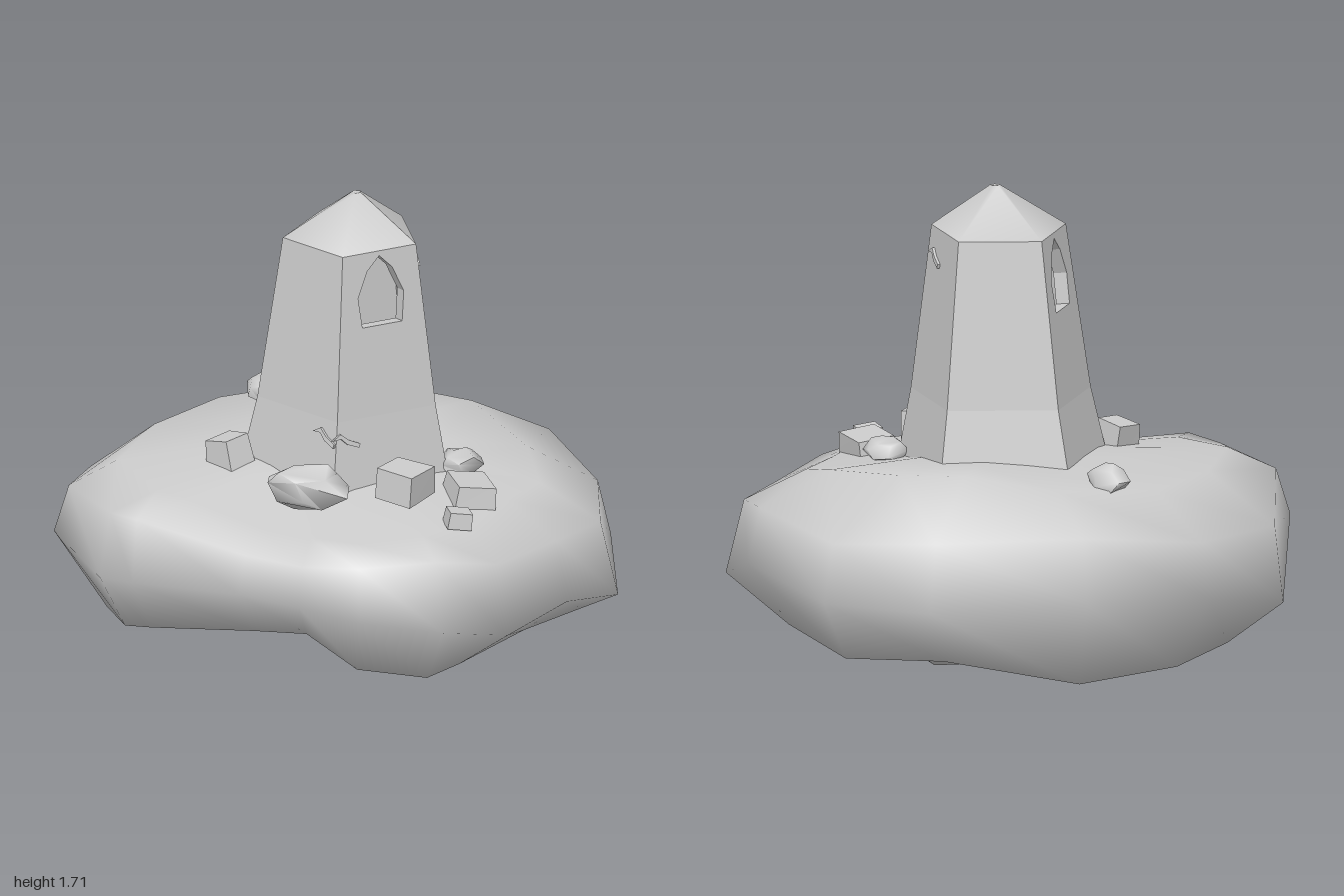
import * as THREE from 'three';
import { toCreasedNormals } from 'three/addons/utils/BufferGeometryUtils.js';

const grey = new THREE.MeshStandardMaterial({ color: 0xcccccc });
const V3 = (x, y, z) => new THREE.Vector3(x, y, z);

function addMesh(parent, name, geometry) {
  const mesh = new THREE.Mesh(geometry, grey);
  mesh.name = name;
  parent.add(mesh);
  return mesh;
}

// Island, one row per direction around the rim: [x, z, widest y,
// rim y, rim scale, shoulder y, shoulder scale, underside y, underside scale]
const RIM = [
  [1.0, -0.13, 0.27, 0.54, 0.935, 0.66, 0.71, 0.20, 0.86],
  [0.94, 0.16, 0.33, 0.55, 0.95, 0.66, 0.72, 0.18, 0.80],
  [0.89, 0.54, 0.32, 0.57, 0.94, 0.65, 0.75, 0.11, 0.69],
  [0.72, 0.72, 0.36, 0.60, 0.92, 0.65, 0.76, 0.13, 0.83],
  [0.48, 0.91, 0.42, 0.60, 0.93, 0.64, 0.78, 0.17, 0.80],
  [0.24, 0.905, 0.44, 0.57, 0.93, 0.63, 0.78, 0.29, 0.85],
  [0.0, 0.90, 0.45, 0.58, 0.94, 0.63, 0.78, 0.27, 0.86],
  [-0.43, 0.885, 0.42, 0.655, 0.98, 0.68, 0.74, 0.23, 0.91],
  [-0.58, 0.84, 0.40, 0.64, 0.96, 0.69, 0.77, 0.20, 0.90],
  [-0.88, 0.60, 0.45, 0.62, 0.95, 0.71, 0.78, 0.15, 0.82],
  [-1.0, 0.12, 0.24, 0.52, 0.97, 0.71, 0.73, 0.085, 0.80],
  [-0.87, -0.35, 0.35, 0.55, 0.96, 0.71, 0.74, 0.08, 0.84],
  [-0.54, -0.77, 0.40, 0.63, 0.95, 0.74, 0.65, 0.09, 0.91],
  [0.0, -0.91, 0.36, 0.60, 0.93, 0.77, 0.54, 0.15, 0.82],
  [0.41, -0.865, 0.36, 0.57, 0.95, 0.76, 0.58, 0.14, 0.88],
  [0.83, -0.42, 0.38, 0.58, 0.95, 0.71, 0.68, 0.15, 0.84],
];

function islandGeometry() {
  const n = RIM.length;
  const rings = [
    RIM.map(([x, z, , , , s]) => [x * 0.35, 0.5 * s + 0.385, z * 0.35]),
    RIM.map(([x, z, , , , s, k]) => [x * k, s, z * k]),
    RIM.map(([x, z, , r, k]) => [x * k, r, z * k]),
    RIM.map(([x, z, m]) => [x, m, z]),
    RIM.map(([x, z, , , , , , u, k]) => [x * k, u, z * k]),
    RIM.map(([x, z, , , , , , u]) => [x * 0.3 + 0.1, u * 0.7, z * 0.3 - 0.13]),
  ];
  const points = [...rings.flat(), [0, 0.77, 0], [0.2, 0, -0.2]];
  const top = points.length - 2, bottom = top + 1, last = (rings.length - 1) * n;
  const index = [];
  for (let j = 0; j < n; j++) {
    const k = (j + 1) % n;
    index.push(top, k, j, bottom, last + j, last + k);
    for (let i = 0; i < rings.length - 1; i++) {
      const a = i * n + j, b = i * n + k;
      index.push(a, b, a + n, b, b + n, a + n);
    }
  }
  const g = new THREE.BufferGeometry();
  g.setAttribute('position', new THREE.Float32BufferAttribute(points.flat(), 3));
  g.setIndex(index);
  g.computeVertexNormals();
  return g;
}

// Tower levels: five corners on a circle, the first towards +x
const LEVELS = [
  { x: 0.02, y: 0.66, z: 0.05, r: 0.4 },
  { x: 0.03, y: 0.95, z: 0.055, r: 0.337 },
  { x: 0.04, y: 1.55, z: 0.06, r: 0.252 },
];
const corner = (l, k) => {
  const a = (k * Math.PI * 2) / 5;
  return V3(l.x + l.r * Math.cos(a), l.y, l.z + l.r * Math.sin(a));
};

const path = (pts, Type = THREE.Shape) => new Type(pts.map(([x, y]) => new THREE.Vector2(x, y)));
const WINDOW = [[-0.08, 0.33], [0.08, 0.33], [0.092, 0.44], [0.05, 0.535],
  [0, 0.585], [-0.05, 0.535], [-0.092, 0.44]];
const CRACK = [[-0.055, 0.01], [-0.02, 0.03], [0.01, 0.005], [0.055, -0.015], [0.05, -0.03],
  [0.005, -0.012], [-0.02, 0.012]];

// One thick wall panel in its own frame: x along the wall, y up the slope, z outwards
function wallPanel(low, high, k, hasWindow) {
  const [a, b] = [corner(low, k + 1), corner(low, k)];
  const [c, d] = [corner(high, k), corner(high, k + 1)];
  const origin = a.clone().add(b).multiplyScalar(0.5);
  const u = b.clone().sub(a).normalize();
  const n = u.clone().cross(c.clone().sub(b)).normalize();
  const v = n.clone().cross(u);
  const flat = [a, b, c, d].map((p) => {
    const q = p.clone().sub(origin);
    return [q.dot(u), q.dot(v)];
  });
  const shape = path(flat);
  if (hasWindow) shape.holes.push(path(WINDOW, THREE.Path));
  const panel = new THREE.Group();
  panel.name = 'wallPanel';
  panel.applyMatrix4(new THREE.Matrix4().makeBasis(u, v, n).setPosition(origin));
  const g = new THREE.ExtrudeGeometry(shape, { depth: 0.05, bevelEnabled: false });
  addMesh(panel, hasWindow ? 'windowWall' : 'wall', g.translate(0, 0, -0.05));
  return panel;
}

function addCrack(panel, u, v) {
  const g = new THREE.ExtrudeGeometry(path(CRACK), { depth: 0.01, bevelEnabled: false });
  addMesh(panel, 'crack', g).position.set(u, v, 0);
}

function createTower() {
  const tower = new THREE.Group();
  tower.name = 'tower';
  for (let k = 0; k < 5; k++) {
    const base = wallPanel(LEVELS[0], LEVELS[1], k, false);
    const shaft = wallPanel(LEVELS[1], LEVELS[2], k, k === 0 || k === 2);
    if (k === 0) addCrack(base, -0.17, 0.22);
    if (k === 1) addCrack(base, 0.16, 0.23);
    if (k === 4) addCrack(shaft, -0.08, 0.5);
    tower.add(base, shaft);
  }
  // Blunt five-sided roof, leaning slightly
  const top = LEVELS[2];
  const roof = new THREE.CylinderGeometry(0.018, top.r, 0.16, 5, 1, false, Math.PI / 2);
  const p = roof.attributes.position;
  for (let i = 0; i < p.count; i++) if (p.getY(i) > 0) p.setX(i, p.getX(i) + 0.015);
  roof.computeVertexNormals();
  addMesh(tower, 'roof', roof).position.set(top.x, top.y + 0.08, top.z);
  return tower;
}

// Rocks: [x, y, z, width, height, depth, turn, tilt, blocky]
const ROCKS = [
  [-0.48, 0.755, -0.30, 0.18, 0.10, 0.13, -0.6, 0, false],
  [-0.31, 0.75, 0.34, 0.13, 0.13, 0.13, -0.4, 0.2, true],
  [0.11, 0.765, 0.56, 0.29, 0.16, 0.18, 0.1, 0, false],
  [0.39, 0.76, 0.35, 0.16, 0.11, 0.17, -0.1, -0.08, true],
  [0.56, 0.695, 0.18, 0.14, 0.08, 0.19, 0.7, -0.12, true],
  [0.63, 0.68, 0.41, 0.09, 0.06, 0.10, 0.65, -0.12, true],
  [0.44, 0.73, 0.0, 0.15, 0.09, 0.15, 0.4, 0, false],
];

// Same corner, same nudge, so the surface stays closed
const nudge = (x, y, z, seed) => {
  const s = Math.sin(x * 12.9 + y * 78.2 + z * 37.7 + seed * 5.3) * 43.7;
  return (s - Math.floor(s) - 0.5) * 0.14;
};

function rockGeometry(w, h, d, blocky, seed) {
  const g = blocky ? new THREE.BoxGeometry(1, 1, 1) : new THREE.DodecahedronGeometry(0.54);
  const p = g.attributes.position;
  for (let i = 0; i < p.count; i++) {
    const [x, y, z] = [p.getX(i), p.getY(i), p.getZ(i)].map((c) => Math.round(c * 1e4) / 1e4);
    const taper = y > 0 ? 0.9 : 1;
    p.setXYZ(i, (x * taper + nudge(x, y, z, seed)) * w,
      (y + nudge(y, z, x, seed)) * h, (z * taper + nudge(z, x, y, seed)) * d);
  }
  return toCreasedNormals(g, blocky ? 0.8 : 1.4);
}

export function createModel() {
  const model = new THREE.Group();
  model.name = 'towerOnIsland';
  addMesh(model, 'island', islandGeometry());
  model.add(createTower());
  const rocks = new THREE.Group();
  rocks.name = 'rocks';
  ROCKS.forEach(([x, y, z, w, h, d, turn, tilt, blocky], i) => {
    const rock = addMesh(rocks, 'rock', rockGeometry(w, h, d, blocky, i + 1));
    rock.position.set(x, y, z);
    rock.rotation.set(0, turn, tilt);
  });
  model.add(rocks);
  return model;
}
